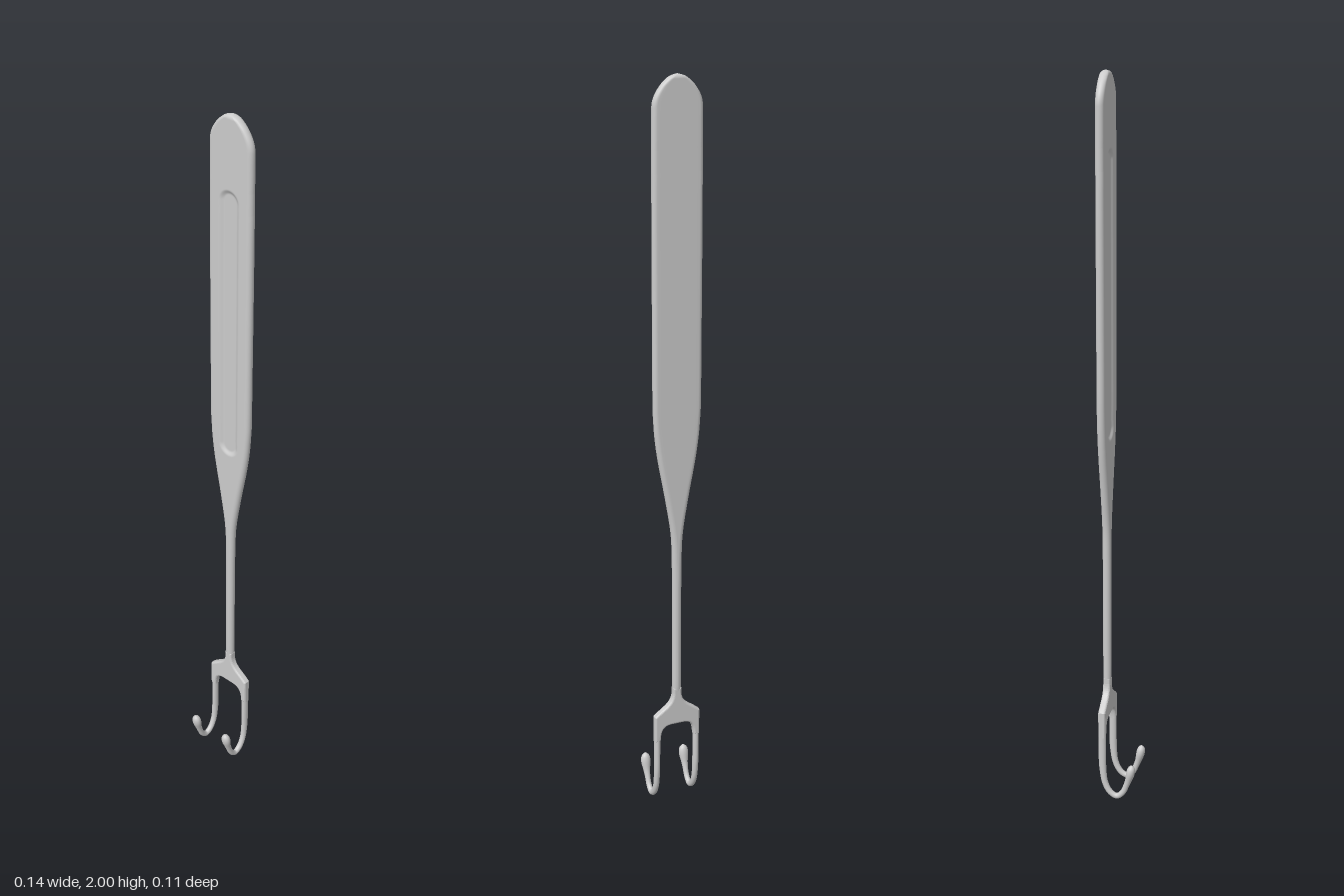
import * as THREE from 'three';

const steel = new THREE.MeshStandardMaterial({ color: 0xcccccc });
const PLANE = -0.0415; // z of the flat body's middle

// Smooth interpolation through [position, value] pairs
function curve(keys, t) {
  const n = keys.length - 1;
  if (t <= keys[0][0]) return keys[0][1];
  if (t >= keys[n][0]) return keys[n][1];
  let i = 0;
  while (t > keys[i + 1][0]) i++;
  const slope = k => {
    const a = keys[Math.max(k - 1, 0)], b = keys[Math.min(k + 1, n)];
    return (b[1] - a[1]) / (b[0] - a[0]);
  };
  const h = keys[i + 1][0] - keys[i][0], s = (t - keys[i][0]) / h;
  const s2 = s * s, s3 = s2 * s;
  return (2 * s3 - 3 * s2 + 1) * keys[i][1] + (s3 - 2 * s2 + s) * h * slope(i)
    + (3 * s2 - 2 * s3) * keys[i + 1][1] + (s3 - s2) * h * slope(i + 1);
}

// Skin over closed rings, each counter-clockwise about the direction of travel
function loft(rings) {
  const n = rings[0].length, index = [];
  for (let i = 0; i < rings.length - 1; i++) {
    for (let j = 0; j < n; j++) {
      const a = i * n + j, b = i * n + (j + 1) % n;
      index.push(a, b, b + n, a, b + n, a + n);
    }
  }
  const g = new THREE.BufferGeometry();
  g.setAttribute('position', new THREE.Float32BufferAttribute(rings.flat(2), 3));
  g.setIndex(index);
  g.computeVertexNormals();
  return g;
}

function mesh(name, geometry) {
  const m = new THREE.Mesh(geometry, steel);
  m.name = name;
  return m;
}

// Flat handle tapering into a slim shank, with a shallow thumb recess in front
function handleGeometry() {
  const width = [[0.28, 0.012], [0.55, 0.0125], [0.72, 0.0135], [0.8, 0.017], [0.9, 0.033],
    [1.0, 0.052], [1.06, 0.061], [1.13, 0.067], [1.2, 0.068], [1.92, 0.068], [1.945, 0.063],
    [1.97, 0.048], [1.985, 0.033], [1.995, 0.018], [2, 0.0004]];
  const spans = [[0.28, 1.03, 50], [1.03, 1.09, 24], [1.09, 1.76, 12], [1.76, 1.82, 24],
    [1.82, 1.92, 4], [1.92, 1.985, 18], [1.985, 2, 14]];
  const ys = spans.flatMap(([a, b, n]) => Array.from({ length: n }, (_, i) => a + (b - a) * i / n));
  ys.push(2);
  const recess = (x, y) => {
    const dy = Math.max(1.073 - y, 0, y - 1.777);
    return 0.006 * THREE.MathUtils.smoothstep(0.033 - Math.hypot(x, dy), 0, 0.014);
  };
  const rings = ys.map(y => {
    const w = curve(width, y);
    let r = 0.0115 - 0.003 * (1 - THREE.MathUtils.smoothstep(y, 0.28, 0.37));
    if (y > 1.9885) r = Math.sqrt(Math.max(0, 0.0115 ** 2 - (y - 1.9885) ** 2));
    r = Math.min(r, w);
    const flat = w - r, ring = [];
    for (let i = 0; i < 48; i++) { // front face
      const x = flat * (i / 24 - 1);
      ring.push([x, y, PLANE + r - recess(x, y)]);
    }
    for (let i = 0; i < 10; i++) { // rounded edge
      const a = Math.PI * i / 10;
      ring.push([flat + r * Math.sin(a), y, PLANE + r * Math.cos(a)]);
    }
    for (let i = 0; i < 12; i++) ring.push([flat * (1 - i / 6), y, PLANE - r]); // back face
    for (let i = 0; i < 10; i++) { // rounded edge
      const a = Math.PI * (1 + i / 10);
      ring.push([-flat + r * Math.sin(a), y, PLANE + r * Math.cos(a)]);
    }
    return ring;
  });
  return loft(rings);
}

// Forked yoke with flared shoulders and a rounded crotch
function yokeGeometry() {
  const s = new THREE.Shape();
  s.moveTo(-0.012, 0.345);
  s.lineTo(-0.012, 0.33);
  s.bezierCurveTo(-0.014, 0.295, -0.04, 0.29, -0.067, 0.266);
  s.lineTo(-0.067, 0.19);
  s.lineTo(-0.05, 0.19);
  s.bezierCurveTo(-0.049, 0.225, -0.04, 0.236, -0.015, 0.236);
  s.lineTo(0.015, 0.236);
  s.bezierCurveTo(0.04, 0.236, 0.049, 0.225, 0.05, 0.19);
  s.lineTo(0.067, 0.19);
  s.lineTo(0.067, 0.266);
  s.bezierCurveTo(0.04, 0.29, 0.014, 0.295, 0.012, 0.33);
  s.lineTo(0.012, 0.345);
  s.closePath();
  const bevel = 0.006, depth = 0.021;
  const g = new THREE.ExtrudeGeometry(s, {
    depth: depth - 2 * bevel, curveSegments: 14, bevelEnabled: true,
    bevelThickness: bevel, bevelSize: bevel, bevelOffset: -bevel, bevelSegments: 4
  });
  return g.translate(0, 0, PLANE - depth / 2 + bevel);
}

// Prong curling forward into a hook with a blunt bulb at its tip
function hookGeometry(x) {
  const path = new THREE.CatmullRomCurve3([
    [0.225, PLANE], [0.15, PLANE], [0.09, -0.04], [0.045, -0.033], [0.018, -0.018],
    [0.0088, 0], [0.021, 0.016], [0.05, 0.029], [0.08, 0.038], [0.111, 0.0435]
  ].map(([y, z]) => new THREE.Vector3(x, y, z)));
  const across = [[0, 0.0085], [0.6, 0.008], [0.78, 0.0075], [0.85, 0.0095], [0.92, 0.0135],
    [0.96, 0.0125], [0.985, 0.008], [1, 0.0002]];
  const along = [[0, 0.0105], [0.3, 0.0105], [0.5, 0.0088], [0.78, 0.008], [0.85, 0.009],
    [0.92, 0.0118], [0.96, 0.011], [0.985, 0.0075], [1, 0.0002]];
  const rings = [];
  for (let i = 0; i <= 90; i++) {
    const u = i / 90, p = path.getPointAt(u), t = path.getTangentAt(u);
    const rx = curve(across, u), rn = curve(along, u), ring = [];
    for (let j = 0; j < 24; j++) {
      const a = Math.PI * j / 12, c = rx * Math.cos(a), s = rn * Math.sin(a);
      ring.push([p.x + c, p.y + t.z * s, p.z - t.y * s]);
    }
    rings.push(ring);
  }
  return loft(rings);
}

export function createModel() {
  const model = new THREE.Group();
  model.name = 'forkedHookRetractor';
  model.add(mesh('handle', handleGeometry()), mesh('yoke', yokeGeometry()));
  for (const [name, side] of [['leftHook', 1], ['rightHook', -1]]) {
    model.add(mesh(name, hookGeometry(side * 0.0585)));
  }
  return model;
}
